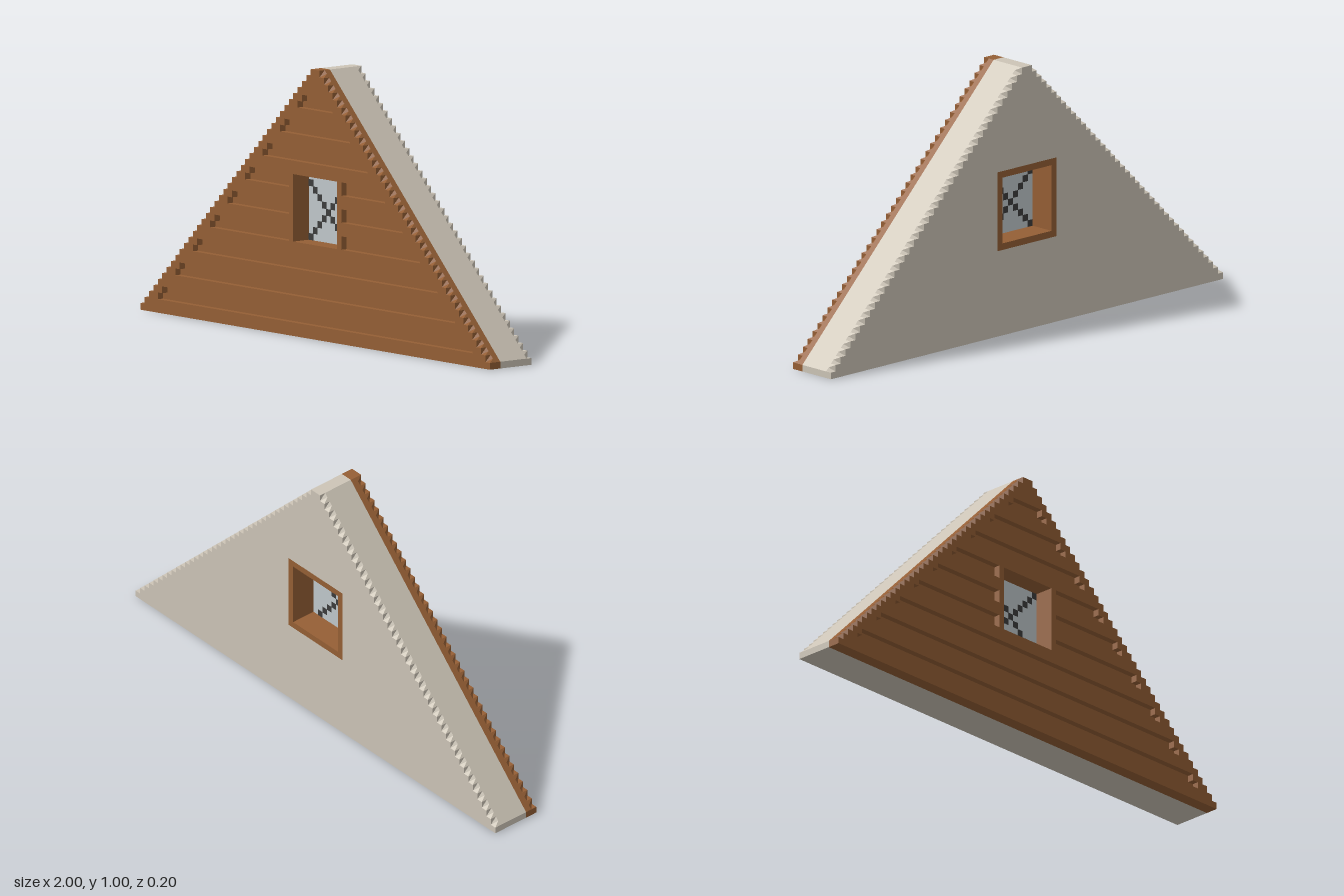
import * as THREE from 'three';

const U = 0.025; // one block
const ROWS = 40;

const mat = (name, color) => {
  const m = new THREE.MeshStandardMaterial({ color });
  m.name = name;
  return m;
};

const mirrored = (right) => new THREE.Shape([
  ...right.map(([x, y]) => new THREE.Vector2(x, y)),
  ...right.slice().reverse().map(([x, y]) => new THREE.Vector2(-x, y)),
]);

// smooth triangular outline with a small flat ridge and feet
const rampShape = () => mirrored([[1, 0], [1, U], [U, 1]]);

// stair-stepped outline
function stepShape() {
  const pts = [[1, 0]];
  for (let i = 0; i < ROWS; i++) {
    pts.push([1 - i * U, (i + 1) * U]);
    if (i < ROWS - 1) pts.push([1 - (i + 1) * U, (i + 1) * U]);
  }
  return mirrored(pts);
}

const path = (pts) => new THREE.Path(pts.map(([x, y]) => new THREE.Vector2(x, y)));

// rectangular hole or outline for the window, half width w
const windowRect = (w) => [
  [-w, 0.475 - w], [w, 0.475 - w], [w, 0.475 + w], [-w, 0.475 + w],
];

// plank grooves: stepped ends, split either side of the window
function grooves() {
  const list = [];
  for (let k = 0; k < 9; k++) {
    const y = 0.05 + 0.1 * k, w = 0.9 - 0.1 * k;
    const end = [[w, y], [w, y + U], [w - U, y + U], [w - U, y + 2 * U]];
    const flip = (p) => p.map(([a, b]) => [-a, b]).reverse();
    if (k >= 3 && k <= 5) {
      const half = [[0.15, y], ...end, [0.15, y + 2 * U]];
      list.push(half, flip(half));
    } else {
      list.push([...end, ...flip(end)]);
    }
  }
  return list;
}

// slab between two depths; notchSide tells which face keeps the stair notches
function slab(name, shape, holes, z0, z1, material, notchSide = 0) {
  holes.forEach((h) => shape.holes.push(path(h)));
  const geo = new THREE.ExtrudeGeometry(shape, { depth: z1 - z0, bevelEnabled: false });
  geo.translate(0, 0, z0);
  if (notchSide) {
    const p = geo.attributes.position, inner = notchSide > 0 ? z0 : z1;
    for (let i = 0; i < p.count; i++) {
      const x = p.getX(i), y = p.getY(i);
      const isNotch = y > 0.01 && Math.abs(Math.abs(x) + y - 1) < 0.002;
      // notches run out into the smooth slope
      if (isNotch && Math.abs(p.getZ(i) - inner) < 0.001) {
        p.setXY(i, x + Math.sign(x) * U / 2, y + U / 2);
      }
    }
    geo.computeVertexNormals();
  }
  const mesh = new THREE.Mesh(geo, material);
  mesh.name = name;
  return mesh;
}

export function createModel() {
  const wood = mat('brownWood', 0x955f35);
  const plaster = mat('creamPlaster', 0xcdc5b7);
  const glass = mat('paleGlass', 0xc0c8cb);
  const lead = mat('darkLattice', 0x3c3c3c);

  const model = new THREE.Group();
  model.name = 'gableWall';

  // wooden front with grooves, then plaster body behind
  model.add(
    slab('plankFront', stepShape(), [windowRect(0.125), ...grooves()], 0.075, 0.1, wood, 1),
    slab('plankBacking', rampShape(), [windowRect(0.125)], 0.05, 0.075, wood),
    slab('wallBody', rampShape(), [windowRect(0.15)], -0.075, 0.05, plaster),
    slab('wallBack', stepShape(), [windowRect(0.15)], -0.1, -0.075, plaster, -1),
  );

  // window lining through the wall
  const frame = new THREE.Shape(windowRect(0.15).map(([x, y]) => new THREE.Vector2(x, y)));
  model.add(slab('windowFrame', frame, [windowRect(0.125)], -0.1, 0.05, wood));

  // pane
  const pane = new THREE.Mesh(new THREE.BoxGeometry(0.25, 0.25, U), glass);
  pane.name = 'windowPane';
  pane.position.set(0, 0.475, U / 2);
  model.add(pane);

  // crossed lattice of small squares on both faces of the pane
  const lattice = new THREE.Group();
  lattice.name = 'windowLattice';
  const tile = new THREE.BoxGeometry(U, U, 0.002);
  for (let i = 0; i < 10; i++) {
    for (let j = 0; j < 10; j++) {
      if (i !== j && i + j !== 8) continue;
      for (const z of [0, U]) {
        const t = new THREE.Mesh(tile, lead);
        t.name = 'latticeSquare';
        t.position.set(-0.125 + (i + 0.5) * U, 0.35 + (j + 0.5) * U, z);
        lattice.add(t);
      }
    }
  }
  model.add(lattice);
  return model;
}
